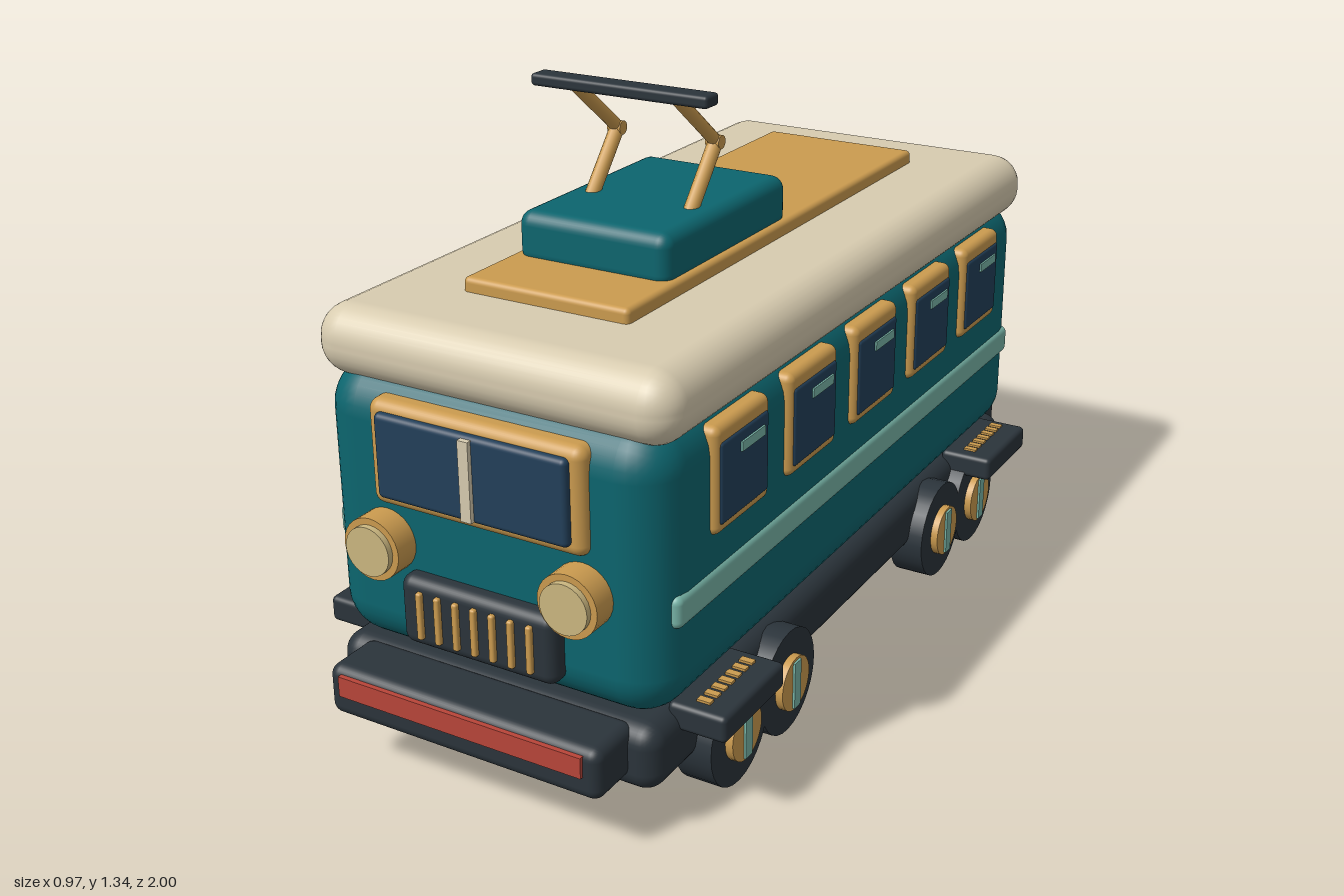
import * as THREE from 'three';
import { RoundedBoxGeometry } from 'three/addons/geometries/RoundedBoxGeometry.js';

const paint = (name, color) => Object.assign(new THREE.MeshStandardMaterial({ color }), { name });
const teal = paint('teal', 0x0c656e);
const cream = paint('cream', 0xd8ccb0);
const ochre = paint('ochre', 0xcb9b4f);
const dark = paint('charcoal', 0x2b343b);
const navy = paint('glass navy', 0x23405a);
const mint = paint('mint', 0x78b5a8);
const red = paint('red', 0xb84539);
const lens = paint('lens', 0xcbb780);

function add(parent, name, geometry, material, x, y, z) {
  const mesh = new THREE.Mesh(geometry, material);
  mesh.name = name;
  mesh.position.set(x, y, z);
  parent.add(mesh);
  return mesh;
}

// Rounded box given by its size and centre
function block(parent, name, material, [w, h, d], [x, y, z], radius) {
  return add(parent, name, new RoundedBoxGeometry(w, h, d, 4, radius), material, x, y, z);
}

// Sharp box given by its size and centre
function slab(parent, name, material, [w, h, d], [x, y, z]) {
  return add(parent, name, new THREE.BoxGeometry(w, h, d), material, x, y, z);
}

// Cylinder running along x or z
function disc(parent, name, material, radius, length, axis, [x, y, z], sides = 28) {
  const g = new THREE.CylinderGeometry(radius, radius, length, sides);
  if (axis === 'x') g.rotateZ(-Math.PI / 2);
  else g.rotateX(Math.PI / 2);
  return add(parent, name, g, material, x, y, z);
}

// Round bar between two points
function rod(parent, name, material, a, b, radius) {
  const from = new THREE.Vector3(...a), to = new THREE.Vector3(...b);
  const dir = to.clone().sub(from);
  const mid = from.clone().add(to).multiplyScalar(0.5);
  const mesh = add(parent, name, new THREE.CylinderGeometry(radius, radius, dir.length(), 12),
    material, mid.x, mid.y, mid.z);
  mesh.quaternion.setFromUnitVectors(new THREE.Vector3(0, 1, 0), dir.normalize());
}

// One cab end, facing +z
function makeEnd() {
  const end = new THREE.Group();
  block(end, 'windscreenFrame', ochre, [0.5, 0.225, 0.08], [0, 0.698, 0.867], 0.025);
  block(end, 'windscreen', navy, [0.444, 0.18, 0.04], [0, 0.7, 0.902], 0.012);
  slab(end, 'windscreenDivider', cream, [0.024, 0.168, 0.02], [0, 0.7, 0.922]);

  for (const s of [-1, 1]) {
    disc(end, 'headlightRim', ochre, 0.067, 0.08, 'z', [s * 0.23, 0.504, 0.9]);
    disc(end, 'headlightLens', lens, 0.053, 0.03, 'z', [s * 0.23, 0.504, 0.938]);
  }

  block(end, 'grille', dark, [0.368, 0.152, 0.06], [0, 0.376, 0.892], 0.025);
  for (let i = -3; i <= 3; i++) {
    block(end, 'grilleBar', ochre, [0.014, 0.104, 0.02], [i * 0.0435, 0.376, 0.922], 0.005);
  }

  block(end, 'bumper', dark, [0.65, 0.112, 0.14], [0, 0.187, 0.922], 0.025);
  slab(end, 'bumperStripe', red, [0.58, 0.045, 0.012], [0, 0.207, 0.994]);
  return end;
}

// One long side, facing +x
function makeSide() {
  const side = new THREE.Group();
  for (let i = -2; i <= 2; i++) {
    const z = i * 0.299;
    block(side, 'windowFrame', ochre, [0.06, 0.225, 0.213], [0.385, 0.698, z], 0.018);
    block(side, 'windowGlass', navy, [0.02, 0.172, 0.188], [0.409, 0.693, z], 0.008);
    slab(side, 'windowGlint', mint, [0.006, 0.02, 0.092], [0.42, 0.745, z - 0.025]);
  }
  block(side, 'beltTrim', mint, [0.034, 0.07, 1.66], [0.39, 0.478, 0], 0.017);

  for (const s of [-1, 1]) {
    // Axle pair
    for (const z of [0.405, 0.618]) {
      disc(side, 'wheel', dark, 0.118, 0.082, 'x', [0.379, 0.118, s * z]);
      disc(side, 'hub', ochre, 0.061, 0.04, 'x', [0.417, 0.118, s * z]);
      slab(side, 'hubStripe', mint, [0.008, 0.108, 0.028], [0.438, 0.118, s * z]);
    }
    // Boarding step with grip slats
    block(side, 'step', dark, [0.13, 0.058, 0.245], [0.419, 0.23, s * 0.67], 0.012);
    for (let i = -3; i <= 3; i++) {
      slab(side, 'stepSlat', ochre, [0.03, 0.006, 0.016], [0.418, 0.261, s * 0.67 + i * 0.028]);
    }
  }
  return side;
}

// Folding current collector on the roof
function makePantograph() {
  const group = new THREE.Group();
  group.name = 'pantograph';
  for (const x of [-0.12, 0.12]) {
    rod(group, 'lowerArm', ochre, [x, 1.07, 0.3], [x, 1.2, 0.19], 0.016);
    rod(group, 'upperArm', ochre, [x, 1.2, 0.19], [x, 1.33, 0.355], 0.014);
    disc(group, 'elbow', ochre, 0.015, 0.032, 'x', [x, 1.2, 0.192], 12);
  }
  block(group, 'contactBar', dark, [0.416, 0.026, 0.05], [0, 1.33, 0.355], 0.008);
  return group;
}

export function createModel() {
  const model = new THREE.Group();
  model.name = 'tram';

  // Main shells
  block(model, 'chassis', dark, [0.77, 0.145, 1.78], [0, 0.172, 0], 0.045);
  block(model, 'body', teal, [0.8, 0.61, 1.77], [0, 0.545, 0], 0.1);
  block(model, 'roof', cream, [0.83, 0.15, 1.75], [0, 0.885, 0], 0.07);
  block(model, 'roofDeck', ochre, [0.388, 0.05, 1.31], [0, 0.965, 0], 0.012);
  block(model, 'roofHousing', teal, [0.36, 0.115, 0.51], [0, 1.027, 0.233], 0.03);
  model.add(makePantograph());

  // Both ends and both sides, turned half round
  for (const [label, turn] of [['A', 0], ['B', Math.PI]]) {
    const end = makeEnd(), side = makeSide();
    end.name = 'cabEnd' + label;
    side.name = 'longSide' + label;
    end.rotation.y = side.rotation.y = turn;
    model.add(end, side);
  }
  return model;
}
